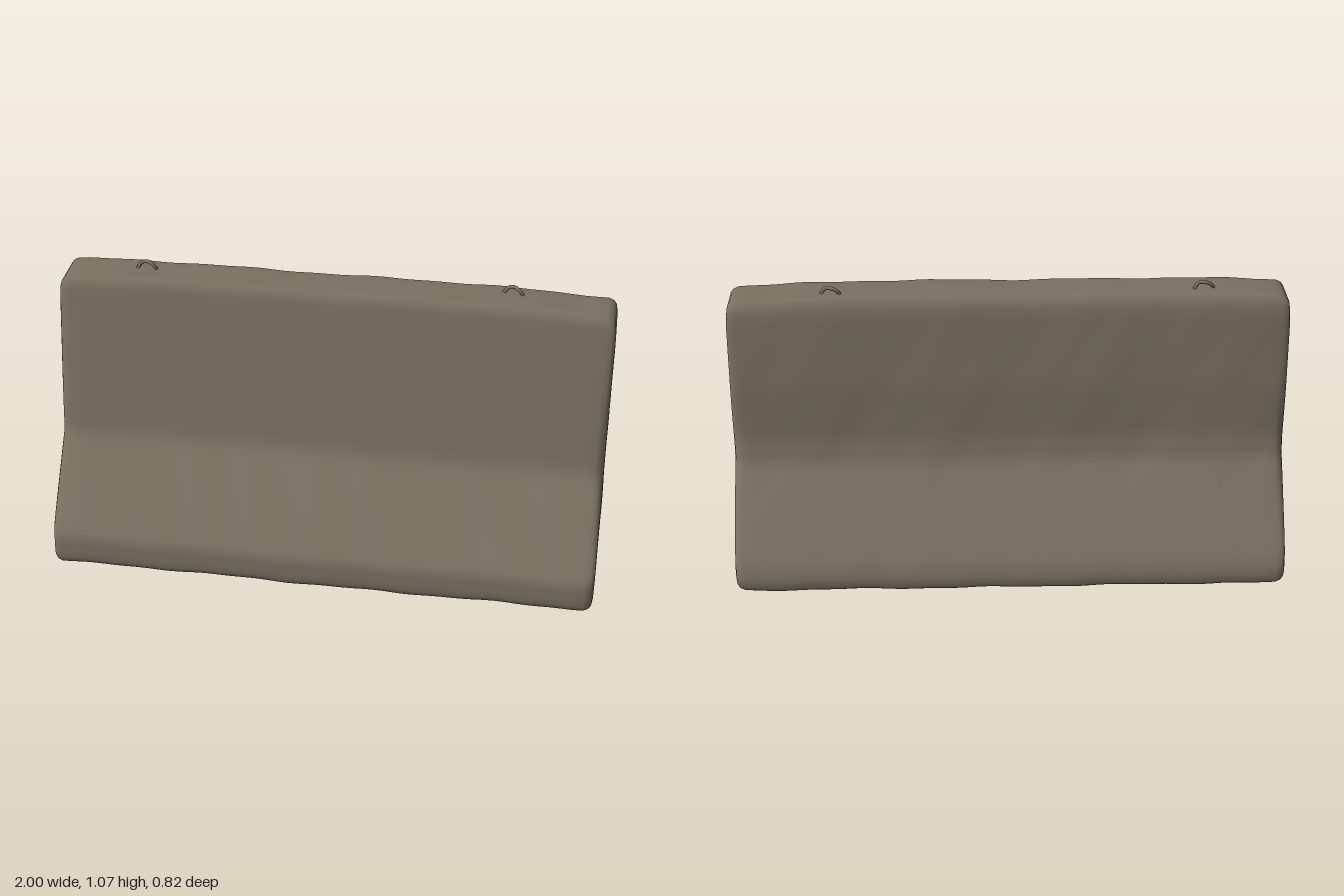
import * as THREE from 'three';

const concrete = new THREE.MeshStandardMaterial({ color: 0x7b7162 });
concrete.name = 'weathered concrete';

// Cross-section as [z, y], from the front foot up, over the top and down the back
const PROFILE = [
  [0.385, 0.017], [0.403, 0.025], [0.41, 0.045], [0.405, 0.125], [0.395, 0.147],
  [0.19, 0.445], [0.177, 0.475], [0.15, 0.61], [0.067, 1.005], [0.06, 1.03], [0.045, 1.039],
  [-0.1, 1.039], [-0.116, 1.03], [-0.13, 0.985], [-0.158, 0.72], [-0.17, 0.52], [-0.188, 0.435],
  [-0.38, 0.13], [-0.398, 0.095], [-0.408, 0.04], [-0.395, 0.022],
  [-0.3, 0.013], [-0.1, 0.006], [0.2, 0.011],
];
const CENTER = [-0.02, 0.42];

// Split the outline edges into short steps
function outline(step) {
  const pts = [];
  PROFILE.forEach(([z, y], i) => {
    const [z2, y2] = PROFILE[(i + 1) % PROFILE.length];
    const n = Math.ceil(Math.hypot(z2 - z, y2 - y) / step);
    for (let k = 0; k < n; k++) pts.push([z + (z2 - z) * k / n, y + (y2 - y) * k / n]);
  });
  return pts;
}

// Gentle worn unevenness of the cast surface
function wear(x, y, z) {
  return 0.0025 * Math.sin(5.3 * x + 4 * y + 1) * Math.cos(6 * y - 3 * z)
    + 0.002 * Math.sin(13 * x - 9 * z + 5 * y) + 0.0012 * Math.sin(29 * x + 17 * y + 11 * z);
}

function barrierGeometry() {
  const pts = outline(0.04);
  // Sections along x: [x, inset, scale]; the ends round off and close to the centre
  const end = [[1, 0.05, 0], [1, 0.05, 0.3], [1, 0.05, 0.6], [0.999, 0.045, 0.88],
    [0.998, 0.036, 0.97], [0.993, 0.022, 1], [0.983, 0.009, 1], [0.965, 0.001, 1]];
  const sections = end.map(([x, inset, s]) => [-x, inset, s]);
  for (let i = 1; i < 48; i++) sections.push([-0.965 + 1.93 * i / 48, 0, 1]);
  sections.push(...end.slice().reverse());

  const position = [], index = [], n = pts.length;
  sections.forEach(([x, inset, s], i) => {
    pts.forEach(([z, y], j) => {
      const dz = z - CENTER[0], dy = y - CENTER[1], len = Math.hypot(dz, dy);
      const k = s * (len - inset + wear(x, y, z)) / len;
      const pz = CENTER[0] + dz * k;
      // The crown rises slightly towards the middle
      const crown = 0.012 * Math.max(0, 1 - x * x) * Math.max(0, y - 0.5) * 2;
      const py = CENTER[1] + dy * k + (crown - 0.006 * Math.max(0, y - 0.5)) * s;
      const px = x + (s < 0.98 ? Math.sign(x) * 0.8 * wear(0, pz * 2, py * 2) * (1 - s) : 0);
      position.push(px, Math.max(0, py), pz);
      if (i < sections.length - 1) {
        const a = i * n + j, b = i * n + (j + 1) % n;
        if (s > 0) index.push(a, a + n, b);
        else index.push(a, a + n, b + n);
        if (s > 0 && sections[i + 1][2] > 0) index.push(a + n, b + n, b);
      }
    });
  });
  const geometry = new THREE.BufferGeometry();
  geometry.setAttribute('position', new THREE.Float32BufferAttribute(position, 3));
  geometry.setIndex(index);
  geometry.computeVertexNormals();
  return geometry;
}

// Bent bar lifting loop set into the top
function liftingLoop(name, x, z, turn) {
  const path = new THREE.CatmullRomCurve3([
    [-0.034, -0.03, 0.012], [-0.033, 0.012, 0.01], [-0.02, 0.033, 0], [0, 0.038, -0.004],
    [0.02, 0.033, 0], [0.033, 0.012, -0.006], [0.034, -0.03, -0.01],
  ].map((p) => new THREE.Vector3(...p)));
  const loop = new THREE.Mesh(new THREE.TubeGeometry(path, 24, 0.0065, 8), concrete);
  loop.name = name;
  loop.position.set(x, 1.031, z);
  loop.rotation.y = turn;
  return loop;
}

export function createModel() {
  const group = new THREE.Group();
  group.name = 'concrete barrier';
  const body = new THREE.Mesh(barrierGeometry(), concrete);
  body.name = 'barrierBody';
  group.add(
    body,
    liftingLoop('rightLiftingLoop', -0.695, -0.045, -0.2),
    liftingLoop('leftLiftingLoop', 0.63, -0.058, -0.4),
  );
  return group;
}
